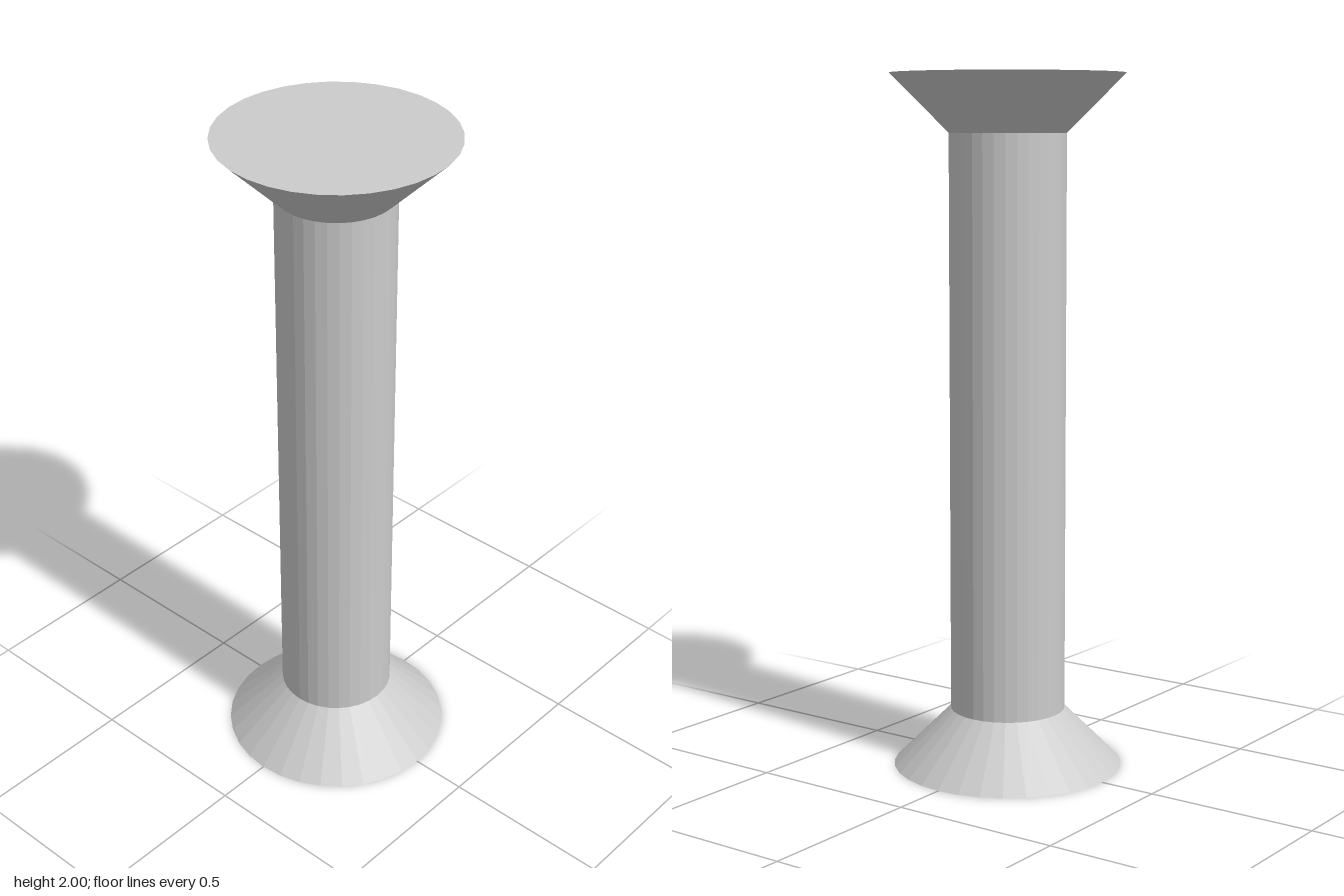
import * as THREE from 'three';

const SIDES = 32;
const FLARE_RADIUS = 1 / 3;
const SHAFT_RADIUS = 1 / 6;
const FLARE_HEIGHT = 1 / 6;
const HEIGHT = 2;

export function createModel() {
  const model = new THREE.Group();
  model.name = 'column';
  const material = new THREE.MeshStandardMaterial({ color: 0xcccccc, flatShading: true });

  // Adds a faceted round section standing on height y
  const addSection = (name, topRadius, bottomRadius, height, y, open = false) => {
    const geometry = new THREE.CylinderGeometry(topRadius, bottomRadius, height, SIDES, 1, open);
    const mesh = new THREE.Mesh(geometry, material);
    mesh.name = name;
    mesh.position.y = y + height / 2;
    model.add(mesh);
  };

  // Flared foot, straight shaft and flared head
  addSection('base', SHAFT_RADIUS, FLARE_RADIUS, FLARE_HEIGHT, 0);
  addSection('shaft', SHAFT_RADIUS, SHAFT_RADIUS, HEIGHT - 2 * FLARE_HEIGHT, FLARE_HEIGHT, true);
  addSection('capital', FLARE_RADIUS, SHAFT_RADIUS, FLARE_HEIGHT, HEIGHT - FLARE_HEIGHT);

  return model;
}
